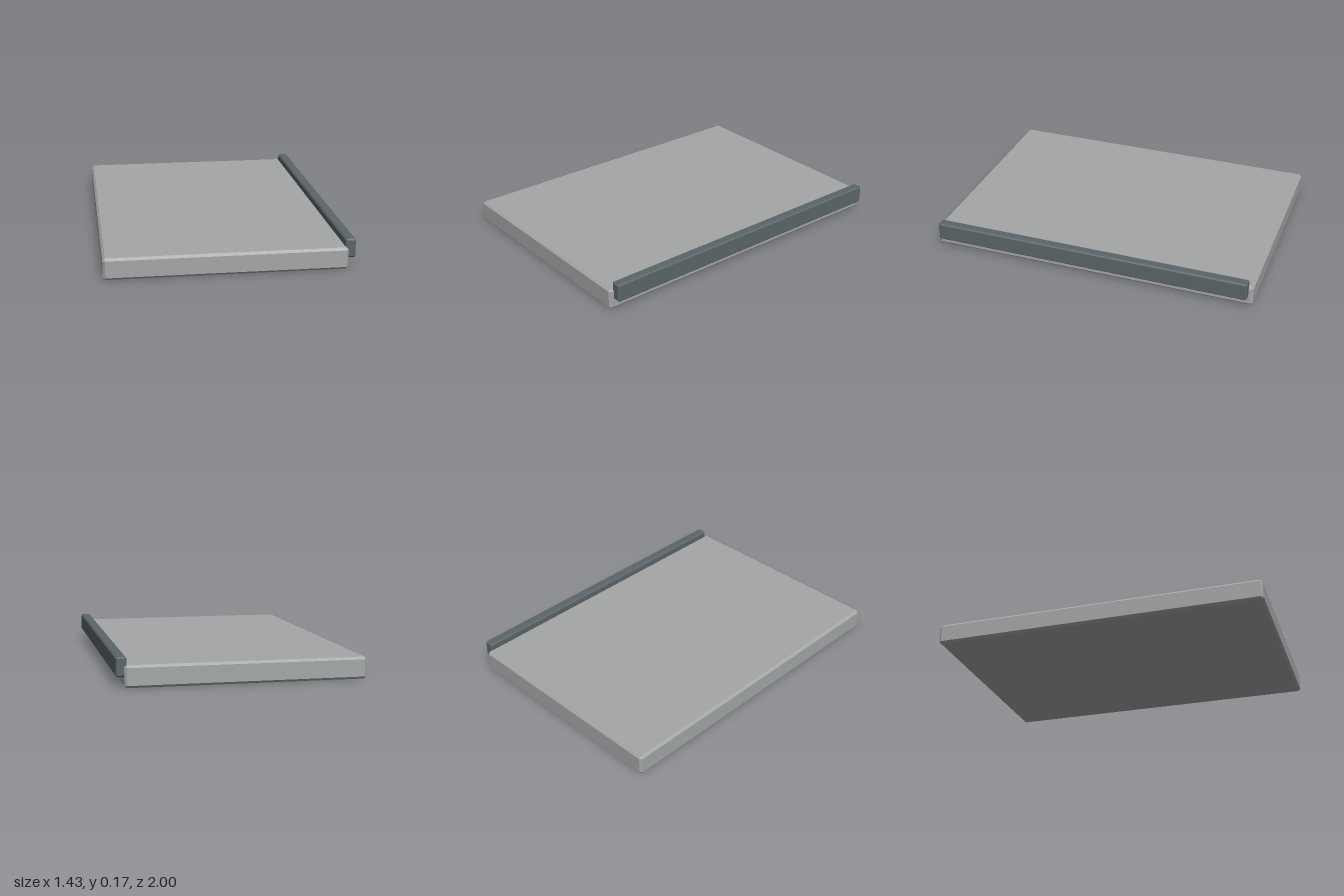
import * as THREE from 'three';
import { ConvexGeometry } from 'three/addons/geometries/ConvexGeometry.js';

// Box between two corners with every edge chamfered by c
function chamferedBox(name, min, max, c, material) {
  const half = max.map((v, i) => (v - min[i]) / 2);
  const points = [];
  for (const sx of [-1, 1]) for (const sy of [-1, 1]) for (const sz of [-1, 1]) {
    const signs = [sx, sy, sz];
    // one point per face meeting at this corner
    for (let axis = 0; axis < 3; axis++) {
      const p = signs.map((s, i) => s * (half[i] - (i === axis ? 0 : c)));
      points.push(new THREE.Vector3(...p));
    }
  }
  const mesh = new THREE.Mesh(new ConvexGeometry(points), material);
  mesh.name = name;
  mesh.position.set(...max.map((v, i) => (v + min[i]) / 2));
  return mesh;
}

export function createModel() {
  const model = new THREE.Group();
  model.name = 'slabWithEdgeRail';

  const paleGrey = new THREE.MeshStandardMaterial({ color: 0xa3a7a5 });
  paleGrey.name = 'paleGrey';
  const slateGrey = new THREE.MeshStandardMaterial({ color: 0x5b6568 });
  slateGrey.name = 'slateGrey';

  // Flat slab, and the raised rail along its left edge
  model.add(
    chamferedBox('slab', [-0.717, 0, -1], [0.672, 0.127, 1], 0.014, paleGrey),
    chamferedBox('edgeRail', [0.656, 0.06, -0.973], [0.717, 0.17, 0.973], 0.008, slateGrey)
  );
  return model;
}
